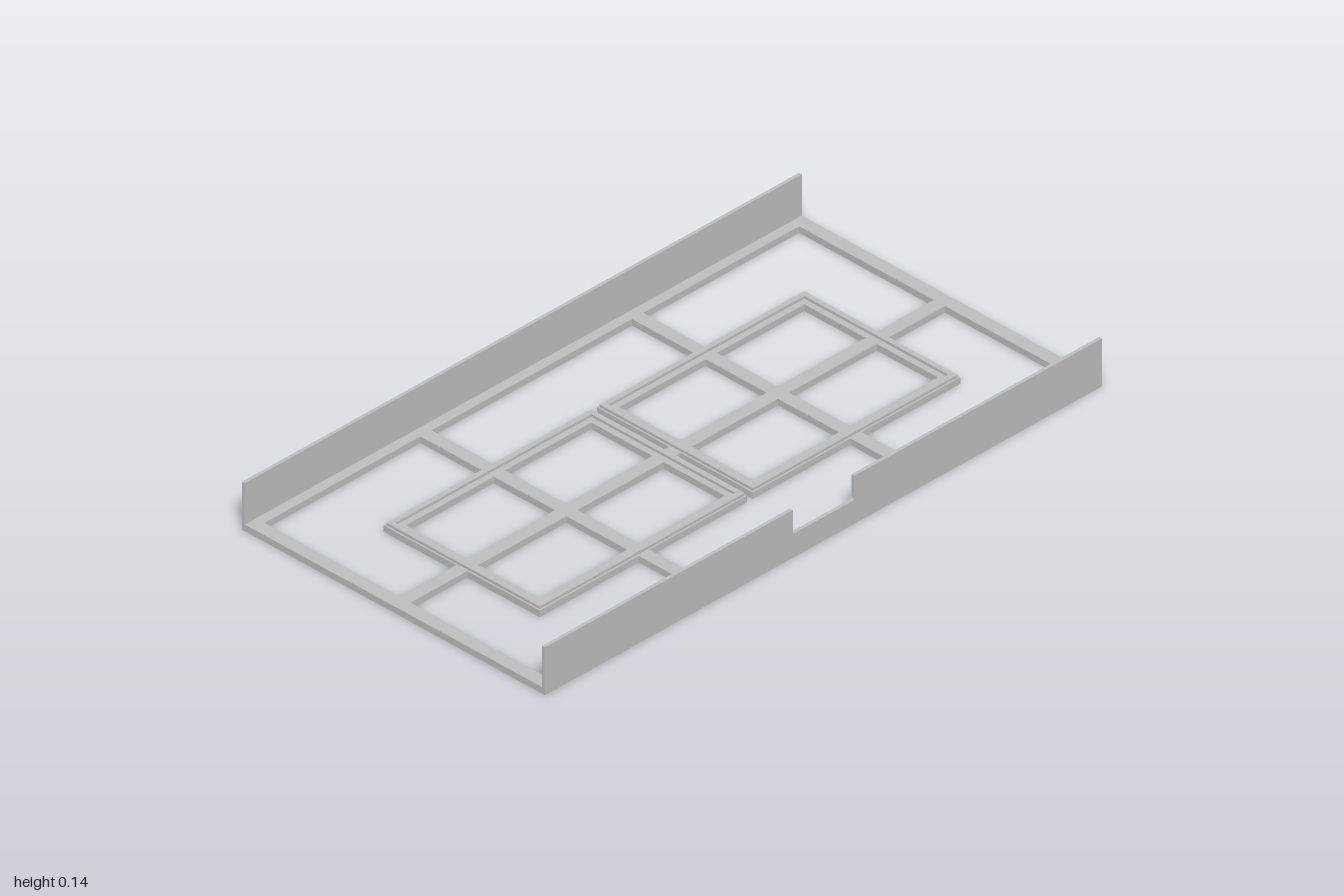
import * as THREE from 'three';

const HALF_X = 1, HALF_Z = 0.54, BAR = 0.04, BASE = 0.02;

export function createModel() {
  const model = new THREE.Group();
  model.name = 'trayFrame';
  const grey = new THREE.MeshStandardMaterial({ color: 0xbfbfbf });
  grey.name = 'light grey';

  const add = (name, geometry) => {
    const mesh = new THREE.Mesh(geometry, grey);
    mesh.name = name;
    model.add(mesh);
    return mesh;
  };

  // Box given by its low and high corners
  const box = (name, x0, x1, y0, y1, z0, z1) =>
    add(name, new THREE.BoxGeometry(x1 - x0, y1 - y0, z1 - z0))
      .position.set((x0 + x1) / 2, (y0 + y1) / 2, (z0 + z1) / 2);

  const rect = (path, x0, x1, z) =>
    path.moveTo(x0, -z).lineTo(x1, -z).lineTo(x1, z).lineTo(x0, z).closePath();

  // Flat rectangular ring lying on the ground plane
  const ring = (name, x0, x1, z, width, y0, y1) => {
    const shape = rect(new THREE.Shape(), x0, x1, z);
    shape.holes.push(rect(new THREE.Path(), x0 + width, x1 - width, z - width));
    const geometry = new THREE.ExtrudeGeometry(shape, { depth: y1 - y0, bevelEnabled: false });
    geometry.rotateX(-Math.PI / 2).translate(0, y0, 0);
    add(name, geometry);
  };

  // Outer frame and cross bars
  ring('outerFrame', -HALF_X, HALF_X, HALF_Z, BAR, 0, BASE);
  box('longBar', -HALF_X + BAR, HALF_X - BAR, 0, BASE, -0.02, 0.02);
  for (const x of [-0.38, 0.38]) {
    box('crossBar', x - BAR / 2, x + BAR / 2, 0, BASE, -HALF_Z + BAR, HALF_Z - BAR);
  }

  // Two holder rings, each with a raised ridge
  for (const x of [-0.3825, 0.3825]) {
    ring('holderRing', x - 0.3725, x + 0.3725, 0.278, BAR, 0, BASE);
    ring('holderRidge', x - 0.3675, x + 0.3675, 0.273, 0.016, BASE, 0.028);
  }

  // Back wall
  const TOP = 0.145, WALL = 0.01;
  box('backWall', -HALF_X, HALF_X, 0, TOP, -HALF_Z, -HALF_Z + WALL);

  // Front wall with a notch whose lower corners are slightly rounded
  const n = 0.11, floor = 0.072, r = 0.008;
  const wall = new THREE.Shape();
  wall.moveTo(-HALF_X, 0).lineTo(HALF_X, 0).lineTo(HALF_X, TOP).lineTo(n, TOP).lineTo(n, floor + r);
  wall.quadraticCurveTo(n, floor, n - r, floor);
  wall.lineTo(-n + r, floor);
  wall.quadraticCurveTo(-n, floor, -n, floor + r);
  wall.lineTo(-n, TOP).lineTo(-HALF_X, TOP).closePath();
  const front = new THREE.ExtrudeGeometry(wall, { depth: WALL, bevelEnabled: false, curveSegments: 4 });
  add('frontWall', front.translate(0, 0, HALF_Z - WALL));

  return model;
}
